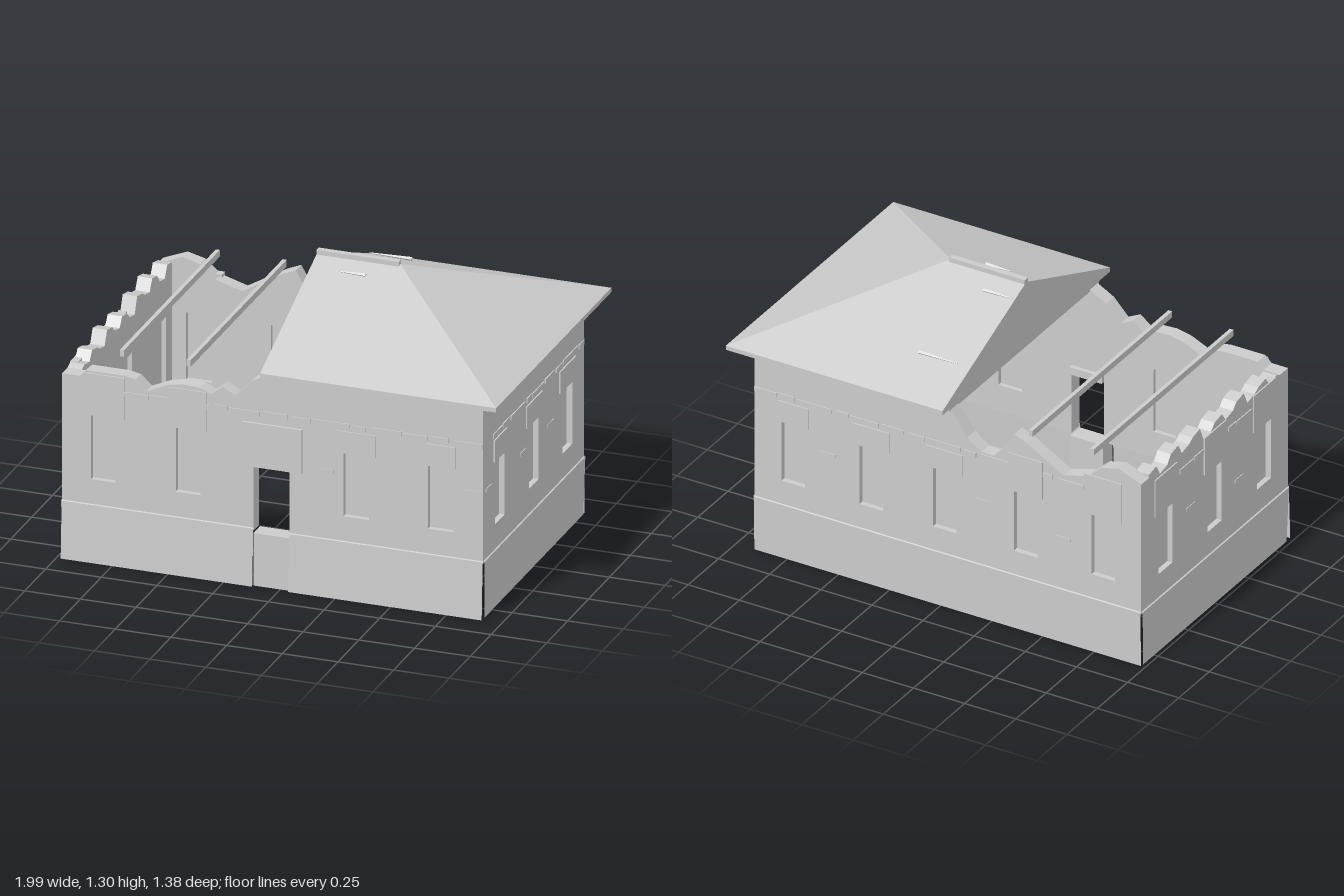
import * as THREE from 'three';
import { ConvexGeometry } from 'three/addons/geometries/ConvexGeometry.js';

const T = 0.065; // wall thickness
const mat = new THREE.MeshStandardMaterial({ color: 0xcccccc, flatShading: true });
const thin = new THREE.MeshStandardMaterial({ color: 0xcccccc, flatShading: true, side: THREE.DoubleSide });

function add(parent, name, geo, m = mat) {
  const mesh = new THREE.Mesh(geo, m);
  mesh.name = name;
  parent.add(mesh);
  return mesh;
}

// Box given by its min and max corners
function box(parent, name, x0, x1, y0, y1, z0, z1) {
  const b = add(parent, name, new THREE.BoxGeometry(x1 - x0, y1 - y0, z1 - z0));
  b.position.set((x0 + x1) / 2, (y0 + y1) / 2, (z0 + z1) / 2);
  return b;
}

// Sloping base panel with a small ledge on top; inset trims its foot at the corners
function skirt(parent, u0, u1, lean, inset) {
  const g = new THREE.PlaneGeometry(1, 1, 1, 2);
  const rows = [[0.263, 0, 0], [0.26, 0.006, 0], [0, lean, inset]];
  rows.forEach(([y, z, i], r) => {
    g.attributes.position.setXYZ(r * 2, u0 + i, y, z);
    g.attributes.position.setXYZ(r * 2 + 1, u1 - i, y, z);
  });
  add(parent, 'baseSkirt', g.toNonIndexed(), thin).geometry.computeVertexNormals();
}

// One wall in its own frame: u runs along it, the outer face is at z = 0
function buildWall(name, { u0, u1, top, bottom = [], windows, lintels, trim, marks = [] }) {
  const g = new THREE.Group();
  g.name = name;
  const outline = [[u0, 0.25], ...bottom, [u1, 0.25], ...[...top].reverse()];
  const shape = new THREE.Shape(outline.map(([x, y]) => new THREE.Vector2(x, y)));
  for (const [c, w] of windows) {
    const a = c - w / 2, b = c + w / 2;
    shape.holes.push(new THREE.Path([[a, 0.375], [a, 0.68], [b, 0.68], [b, 0.375]]
      .map(([x, y]) => new THREE.Vector2(x, y))));
    box(g, 'windowPanel', a, b, 0.375, 0.68, -0.045, -0.025);
  }
  const geo = new THREE.ExtrudeGeometry(shape, { depth: T, bevelEnabled: false });
  add(g, 'masonry', geo.translate(0, 0, -T));
  for (const [c, w, y0, y1] of lintels) box(g, 'lintel', c - w / 2, c + w / 2, y0, y1, -0.03, 0.006);

  // Broken string course
  const lengths = [0.11, 0.08, 0.17, 0.06, 0.14];
  for (let u = trim[0], i = 0; u < trim[1] - 0.02; i++) {
    const end = Math.min(u + lengths[i % 5], trim[1]);
    const y = 0.777 + (i % 2) * 0.004;
    box(g, 'stringCourse', u, end, y, y + 0.02, -0.01, 0.005);
    u = end + 0.006 + (i % 3) * 0.008;
  }
  // Loose bricks standing slightly proud
  for (const [c, y] of marks) box(g, 'looseBrick', c - 0.035, c + 0.035, y, y + 0.015, -0.01, 0.003);
  return g;
}

export function createModel() {
  const house = new THREE.Group();
  house.name = 'ruinedHouse';

  // Front wall with doorway, broken on its right half
  const front = buildWall('frontWall', {
    u0: -0.98, u1: 0.91,
    bottom: [[-0.12, 0.25], [-0.12, 0.545], [0.04, 0.545], [0.04, 0.25]],
    top: [[-0.98, 0.84], [-0.9, 0.84], [-0.87, 0.87], [-0.7, 0.87], [-0.65, 0.86], [-0.6, 0.815], [-0.51, 0.855],
      [-0.44, 0.87], [-0.36, 0.865], [-0.31, 0.845], [-0.26, 0.885], [-0.2, 0.855], [-0.13, 0.93], [-0.03, 0.985], [0.91, 0.985]],
    windows: [[-0.795, 0.11], [-0.415, 0.11], [0.34, 0.115], [0.72, 0.115]],
    lintels: [[-0.79, 0.18, 0.67, 0.86], [-0.415, 0.17, 0.67, 0.85], [0.34, 0.18, 0.665, 0.765], [0.72, 0.13, 0.665, 0.765]],
    trim: [-0.7, 0.91], marks: [[0.205, 0.565], [0.87, 0.565]],
  });
  front.position.z = 0.605;
  skirt(front, -0.98, -0.12, 0.018, 0);
  skirt(front, 0.04, 0.91, 0.018, 0);
  box(front, 'doorLintel', -0.17, 0.1, 0.545, 0.745, -0.03, 0.012);
  box(front, 'doorStep', -0.12, 0.04, 0, 0.24, -0.075, 0.004);
  box(front, 'innerDoorHead', -0.12, 0.04, 0.545, 0.58, -0.085, -0.03);

  // Back wall, seen from behind so u is mirrored
  const back = buildWall('backWall', {
    u0: -0.91, u1: 0.98,
    top: [[-0.91, 0.985], [0.04, 0.985], [0.13, 0.86], [0.2, 0.81], [0.26, 0.81], [0.31, 0.86], [0.36, 0.945], [0.42, 0.92],
      [0.49, 0.88], [0.6, 0.815], [0.72, 0.85], [0.79, 0.91], [0.87, 0.93], [0.98, 0.885]],
    windows: [-0.72, -0.34, 0.02, 0.415, 0.795].map((c) => [c, 0.115]),
    lintels: [[-0.72, 0.15, 0.665, 0.765], [-0.34, 0.18, 0.665, 0.765], [0.02, 0.18, 0.665, 0.765],
      [0.415, 0.17, 0.67, 0.85], [0.795, 0.18, 0.67, 0.86]],
    trim: [-0.91, 0.7], marks: [[-0.55, 0.565], [0.2, 0.565], [0.6, 0.5]],
  });
  back.position.z = -0.605;
  back.rotation.y = Math.PI;
  skirt(back, -0.91, 0.98, 0.001, 0);

  // Side walls fit between the front and back walls
  const sideWindows = [-0.405, 0, 0.405].map((c) => [c, 0.115]);
  const right = buildWall('roofedSideWall', {
    u0: -0.54, u1: 0.54, top: [[-0.54, 0.985], [0.54, 0.985]], windows: sideWindows,
    lintels: [[-0.405, 0.15, 0.665, 0.765], [0, 0.19, 0.665, 0.765], [0.4, 0.19, 0.665, 0.765]],
    trim: [-0.49, 0.6], marks: [[-0.54, 0.565], [-0.13, 0.565], [0.2, 0.565]],
  });
  right.position.x = 0.91;
  right.rotation.y = Math.PI / 2;

  // Toothed top of the broken side wall
  const teeth = [0.9, 0.86, 0.91, 0.87, 0.9, 0.84, 0.88, 0.85, 0.89, 0.84, 0.87, 0.84];
  const toothTop = teeth.flatMap((y, i) => [[-0.54 + i * 0.09, y], [-0.54 + i * 0.09 + 0.06, y + 0.012]]);
  const left = buildWall('brokenSideWall', {
    u0: -0.54, u1: 0.54, top: [...toothTop, [0.54, 0.84]], windows: sideWindows,
    lintels: [-0.405, 0, 0.405].map((c) => [c, 0.18, 0.67, 0.85]),
    trim: [-0.29, 0.3], marks: [[-0.2, 0.565], [0.2, 0.5]],
  });
  left.position.x = -0.98;
  left.rotation.y = -Math.PI / 2;
  for (const side of [right, left]) skirt(side, -0.603, 0.603, 0.001, 0.012);
  house.add(front, back, right, left);

  // Half-hipped roof with a closed gable at the broken end
  const points = [];
  for (const y of [0.99, 1.01])
    for (const x of [-0.06, 1]) for (const z of [-0.69, 0.69]) points.push(new THREE.Vector3(x, y, z));
  points.push(new THREE.Vector3(-0.06, 1.29, 0), new THREE.Vector3(0.31, 1.29, 0));
  add(house, 'roof', new ConvexGeometry(points));
  box(house, 'cornice', -0.05, 0.925, 0.965, 0.991, -0.615, 0.615);
  box(house, 'ridgeCap', -0.06, 0.31, 1.28, 1.305, -0.014, 0.014);

  // Splinters lying on the roof
  for (const [x0, x1, y, z] of [[0.07, 0.19, 1.257, 0.09], [-0.05, 0.09, 1.257, -0.1], [0, 0.19, 1.11, -0.465]]) {
    const s = add(house, 'roofSplinter', new THREE.CylinderGeometry(0.009, 0.002, x1 - x0, 4));
    s.rotation.z = -Math.PI / 2;
    s.position.set((x0 + x1) / 2, y, z);
  }

  // Bare beams across the open part
  for (const x of [-0.725, -0.425]) box(house, 'beam', x - 0.009, x + 0.009, 0.94, 0.97, -0.58, 0.57);

  return house;
}
